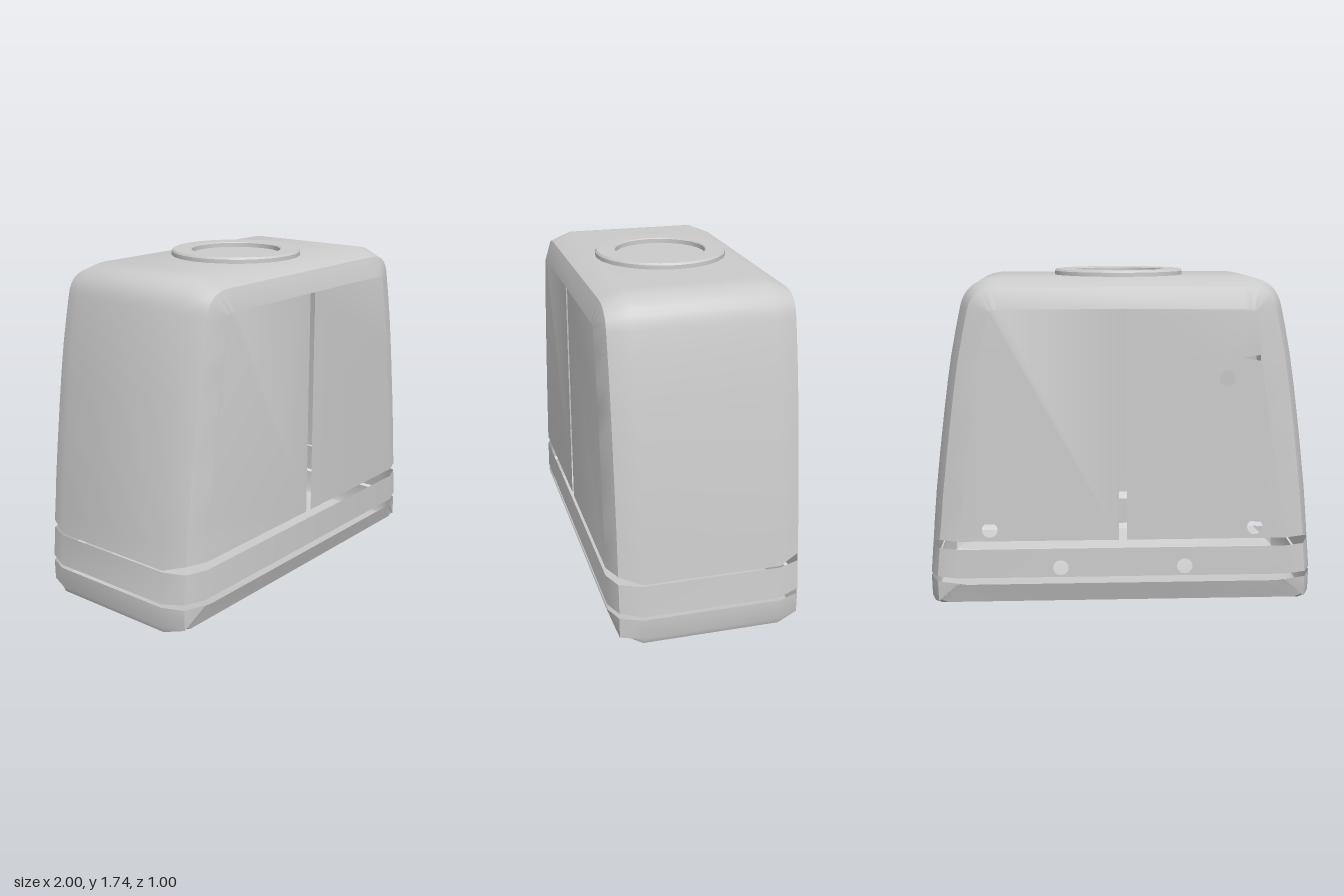
import * as THREE from 'three';
import { mergeGeometries, toCreasedNormals } from 'three/addons/utils/BufferGeometryUtils.js';

const V = (x, y) => new THREE.Vector2(x, y);
const material = new THREE.MeshStandardMaterial({ color: 0xcccccc, side: THREE.DoubleSide });

// Depth layers of the chamfered housing: [z, inset of the outline]
const LAYERS = [[-0.5, 0.15], [-0.46, 0.045], [-0.35, 0], [0.35, 0], [0.46, 0.045], [0.5, 0.15]];
const FACE_INSET = 0.15;

// Mirror a path to the other side, keeping its turning direction
const mirror = (pts) => pts.map((p) => V(-p.x, p.y)).reverse();

// Skin an outline through all depth layers
function skin(outline) {
  const rows = LAYERS.map(([z, d]) => outline(d).map((p) => [p.x, p.y, z]));
  const pos = [];
  for (let i = 0; i < rows.length - 1; i++) {
    for (let j = 0; j < rows[i].length - 1; j++) {
      const a = rows[i][j], b = rows[i][j + 1], c = rows[i + 1][j], e = rows[i + 1][j + 1];
      pos.push(...a, ...b, ...c, ...b, ...e, ...c);
    }
  }
  const g = new THREE.BufferGeometry();
  g.setAttribute('position', new THREE.Float32BufferAttribute(pos, 3));
  return g;
}

// Flat panel with holes, on the front or turned to the back
function panel(points, holes, back) {
  const shape = new THREE.Shape(points);
  shape.holes = holes;
  let g = new THREE.ShapeGeometry(shape, 10).toNonIndexed();
  g.deleteAttribute('uv');
  g.deleteAttribute('normal');
  g.translate(0, 0, 0.5);
  if (back) g.rotateY(Math.PI);
  return g;
}

function circleHole(x, y, r) {
  const p = new THREE.Path();
  p.absarc(x, y, r, 0, Math.PI * 2, true);
  return p;
}

function addMesh(group, name, parts) {
  const mesh = new THREE.Mesh(toCreasedNormals(mergeGeometries(parts), 0.62), material);
  mesh.name = name;
  group.add(mesh);
}

// Right half of the upper housing: curved flank, rounded shoulder
const flank = new THREE.SplineCurve([V(0.985, 0.34), V(0.96, 0.62), V(0.91, 1.02), V(0.865, 1.32), V(0.815, 1.56)]);
const shoulder = new THREE.QuadraticBezierCurve(V(0.815, 1.56), V(0.785, 1.71), V(0.61, 1.71));

function upperHalf(d) {
  const pts = [];
  const sample = (curve, n, first) => {
    for (let i = first; i <= n; i++) {
      const p = curve.getPoint(i / n), t = curve.getTangent(i / n);
      pts.push(V(p.x - t.y * d, p.y + t.x * d));
    }
  };
  sample(flank, 8, 0);
  sample(shoulder, 8, 1);
  pts[0].y = d > 0 ? 0.38 : 0.345;
  return pts;
}

const upperOutline = (d) => {
  const half = upperHalf(d);
  return [...half, ...mirror(half)];
};

const bandSide = (d) => [V(1 - d, d > 0 ? 0.185 : 0.175), V(0.986 - d, 0.337)];

// Base tray: walls turning under into the floor
const baseOutline = (d) => {
  const half = [V(0.2, Math.max(d, 0.005)), V(0.95 - d, Math.max(d, 0.005)),
    V(0.985 - d, 0.02 + d * 0.9), V(0.998 - d, Math.max(0.05, d + 0.003)), V(1 - d, 0.157)];
  return [...mirror(half), ...half];
};

export function createModel() {
  const group = new THREE.Group();
  group.name = 'housing';

  // Upper housing with a split front and back panel
  const upper = [skin(upperOutline)];
  const door = [...upperHalf(FACE_INSET), V(0.02, 1.56), V(0.02, 0.38)];
  for (const s of [1, -1]) {
    const points = s > 0 ? door : mirror(door);
    upper.push(panel(points, [], false));
    const notch = new THREE.Path([V(s * 0.6, 1.315), V(s * 0.69, 1.33), V(s * 0.69, 1.3)]);
    const holes = [circleHole(s * 0.525, 1.21, 0.04), circleHole(s * 0.68, 0.44, 0.04), notch];
    upper.push(panel(points, holes, true));
  }
  addMesh(group, 'upperHousing', upper);

  // Band between the two seams
  const side = bandSide(FACE_INSET);
  const face = [...side, ...mirror(side)];
  addMesh(group, 'lowerBand', [
    skin(bandSide),
    skin((d) => mirror(bandSide(d))),
    panel(face, [], false),
    panel(face, [1, -1].map((s) => circleHole(s * 0.32, 0.235, 0.04)), true),
  ]);

  addMesh(group, 'baseTray', [skin(baseOutline)]);

  // Raised ring and the disc inside it
  const ringProfile = [V(0.34, 1.705), V(0.34, 1.73), V(0.332, 1.74), V(0.24, 1.74), V(0.235, 1.735), V(0.235, 1.705)];
  const ring = new THREE.LatheGeometry(ringProfile, 24);
  const ringMesh = new THREE.Mesh(toCreasedNormals(ring, 0.6), material);
  ringMesh.name = 'topRing';
  const disc = new THREE.Mesh(new THREE.CircleGeometry(0.236, 24).rotateX(-Math.PI / 2), material);
  disc.name = 'topDisc';
  disc.position.y = 1.713;
  group.add(ringMesh, disc);
  return group;
}
